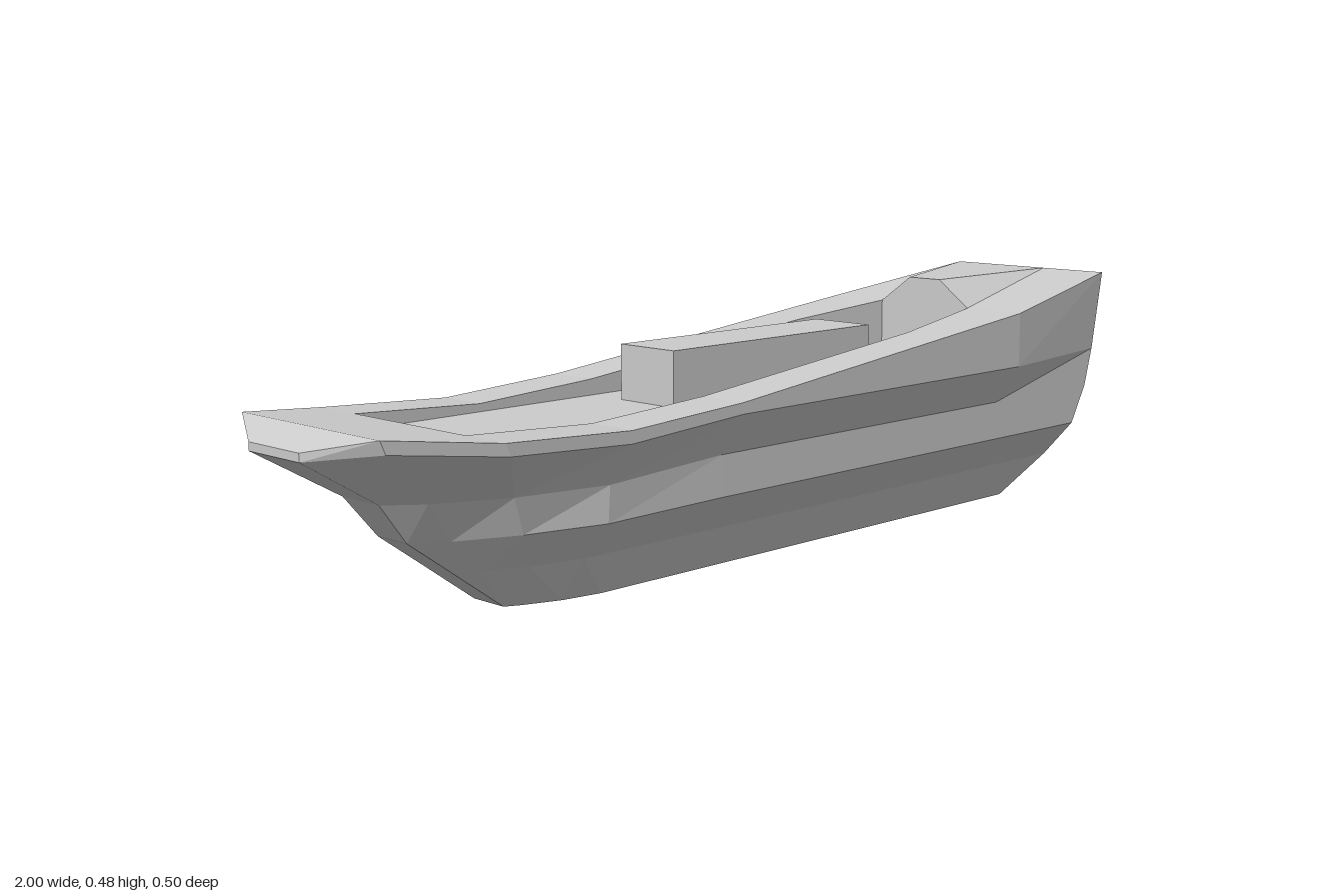
import * as THREE from 'three';

const material = new THREE.MeshStandardMaterial({ color: 0xcccccc, flatShading: true });

// Collects polygons (corners anticlockwise seen from outside) into a faceted mesh.
function facets(name, build) {
  const data = [];
  const face = (...p) => {
    for (let i = 1; i < p.length - 1; i++) data.push(...p[0], ...p[i], ...p[i + 1]);
  };
  // Adds a face given on the +z side, together with its mirror image.
  const both = (...p) => {
    face(...p);
    face(...p.map(([x, y, z]) => [x, y, -z]).reverse());
  };
  build(face, both);
  const geometry = new THREE.BufferGeometry();
  geometry.setAttribute('position', new THREE.Float32BufferAttribute(data, 3));
  geometry.computeVertexNormals();
  const mesh = new THREE.Mesh(geometry, material);
  mesh.name = name;
  return mesh;
}

const mirror = ([x, y, z]) => [x, y, -z];

// Hull lines from keel to sheer; each runs bow to stern as [x, y, half width].
const lines = [
  [[-0.58, 0, 0.04], [-0.55, 0, 0.055], [-0.48, 0, 0.08], [-0.4, 0, 0.093],
    [-0.2, 0, 0.093], [0.38, 0, 0.093], [0.62, 0, 0.093], [0.78, 0, 0.093]],
  [[-0.69, 0.08, 0.04], [-0.65, 0.08, 0.065], [-0.57, 0.08, 0.1], [-0.47, 0.08, 0.125],
    [-0.2, 0.08, 0.125], [0.38, 0.08, 0.125], [0.62, 0.08, 0.125], [0.9, 0.08, 0.125]],
  [[-0.78, 0.145, 0.04], [-0.72, 0.145, 0.08], [-0.62, 0.15, 0.145], [-0.47, 0.152, 0.19],
    [-0.2, 0.157, 0.195], [0.38, 0.157, 0.195], [0.62, 0.157, 0.195], [0.9, 0.157, 0.195]],
  [[-0.84, 0.22, 0.05], [-0.78, 0.22, 0.1], [-0.65, 0.22, 0.16], [-0.47, 0.22, 0.195],
    [-0.2, 0.235, 0.195], [0.38, 0.235, 0.195], [0.62, 0.235, 0.195], [0.945, 0.235, 0.195]],
  [[-1, 0.315, 0.07], [-0.925, 0.332, 0.19], [-0.73, 0.311, 0.25], [-0.47, 0.297, 0.25],
    [-0.2, 0.315, 0.25], [0.38, 0.315, 0.25], [0.62, 0.315, 0.25], [0.968, 0.315, 0.195]],
  [[-1, 0.33, 0.07], [-0.935, 0.356, 0.19], [-0.74, 0.334, 0.25], [-0.47, 0.32, 0.25],
    [-0.2, 0.336, 0.25], [0.38, 0.399, 0.25], [0.62, 0.425, 0.25], [1, 0.48, 0.195]],
];
const sheer = lines[5];
const last = sheer.length - 1;
const floorY = 0.305;

// Inner edge of the side decks, for stations 2 to 6.
const wellWidth = [0.15, 0.15, 0.15, 0.15, 0.115];
const coaming = wellWidth.map((w, i) => [sheer[i + 2][0], sheer[i + 2][1], w]);
const floorEdge = coaming.map(([x, , z]) => [x, floorY, z]);

export function createModel() {
  const boat = new THREE.Group();
  boat.name = 'boat';

  // Planking, blunt stem, transom and flat bottom
  boat.add(facets('hull', (face, both) => {
    for (let r = 0; r < 5; r++) {
      const a = lines[r], b = lines[r + 1];
      for (let i = 0; i < last; i++) both(a[i], a[i + 1], b[i + 1], b[i]);
      face(mirror(a[0]), a[0], b[0], mirror(b[0]));
      face(a[last], mirror(a[last]), mirror(b[last]), b[last]);
    }
    const keel = lines[0];
    for (let i = 0; i < last; i++) {
      face(keel[i], mirror(keel[i]), mirror(keel[i + 1]), keel[i + 1]);
    }
  }));

  // Foredeck and side decks around the well
  boat.add(facets('deck', (face, both) => {
    for (let i = 0; i < 2; i++) {
      face(sheer[i], sheer[i + 1], mirror(sheer[i + 1]), mirror(sheer[i]));
    }
    for (let i = 0; i < 4; i++) {
      both(sheer[i + 2], sheer[i + 3], coaming[i + 1], coaming[i]);
    }
  }));

  // Sunken well: sides, forward step and floor
  boat.add(facets('well', (face, both) => {
    for (let i = 0; i < 4; i++) {
      both(coaming[i], coaming[i + 1], floorEdge[i + 1], floorEdge[i]);
      face(floorEdge[i], floorEdge[i + 1], mirror(floorEdge[i + 1]), mirror(floorEdge[i]));
    }
    face(floorEdge[0], mirror(floorEdge[0]), mirror(coaming[0]), coaming[0]);
  }));

  // Raised stern deck with sloping shoulders and its forward bulkhead
  boat.add(facets('sternDeck', (face, both) => {
    const foot = floorEdge[4], shoulder = coaming[4];
    const crown = [0.62, 0.48, 0.04];
    const aftFront = [1, 0.48, 0.04], aftBack = [1, 0.48, -0.12];
    both(sheer[6], sheer[7], shoulder);
    face(shoulder, sheer[7], aftFront, crown);
    face(mirror(crown), aftBack, mirror(sheer[7]), mirror(shoulder));
    face(crown, aftFront, aftBack, mirror(crown));
    face(mirror(foot), foot, shoulder, crown, mirror(crown), mirror(shoulder));
  }));

  // Long hatch box standing on the well floor
  const hatch = new THREE.Mesh(new THREE.BoxGeometry(0.55, 0.41 - floorY, 0.14), material);
  hatch.name = 'hatch';
  hatch.position.set(0.078, (0.41 + floorY) / 2, 0);
  boat.add(hatch);

  return boat;
}
